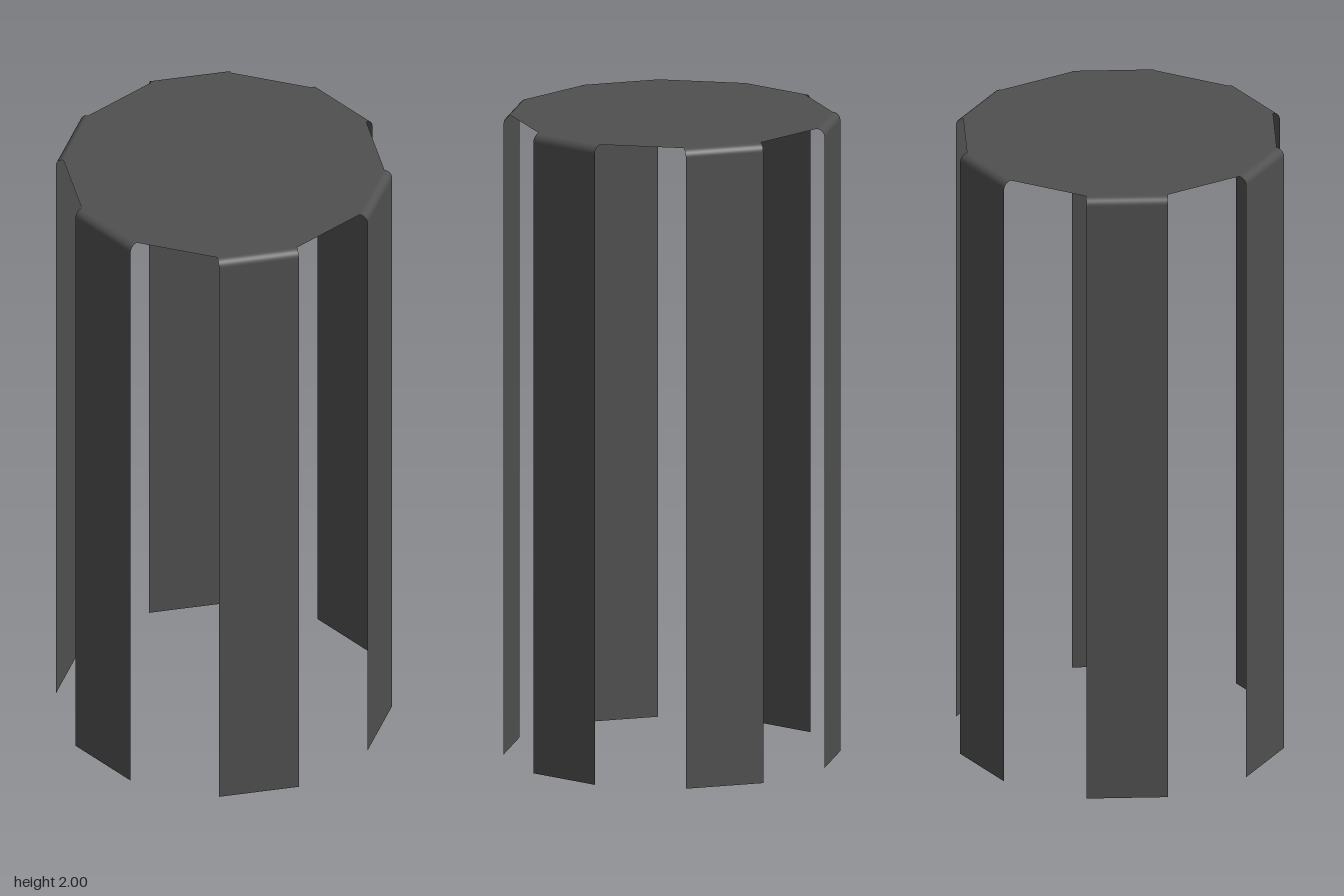
import * as THREE from 'three';

const LEGS = 6, HEIGHT = 2, RADIUS = 0.5, HALF_WIDTH = 0.125, BEND = 0.025, BEND_STEPS = 8;

// One sheet strip facing +z: rounded bend at the top, then straight down to the floor
function legGeometry() {
  const rows = [];
  for (let i = 0; i <= BEND_STEPS; i++) {
    const a = (i / BEND_STEPS) * Math.PI / 2;
    rows.push({
      z: RADIUS - BEND + BEND * Math.sin(a),
      y: HEIGHT - BEND + BEND * Math.cos(a),
      nz: Math.sin(a), ny: Math.cos(a),
    });
  }
  rows.push({ z: RADIUS, y: 0, nz: 1, ny: 0 });

  const geo = new THREE.PlaneGeometry(HALF_WIDTH * 2, 1, 1, rows.length - 1);
  const { position, normal } = geo.attributes;
  for (let i = 0; i < position.count; i++) {
    const r = rows[Math.floor(i / 2)];
    position.setXYZ(i, position.getX(i), r.y, r.z);
    normal.setXYZ(i, 0, r.ny, r.nz);
  }
  return geo;
}

// Flat twelve-sided top whose short edges meet the leg bends
function topGeometry() {
  const points = [];
  for (let k = 0; k < LEGS; k++) {
    const a = k * Math.PI * 2 / LEGS;
    for (const side of [-HALF_WIDTH, HALF_WIDTH]) {
      points.push(new THREE.Vector2(RADIUS - BEND, side).rotateAround(new THREE.Vector2(), a));
    }
  }
  return new THREE.ShapeGeometry(new THREE.Shape(points)).rotateX(-Math.PI / 2);
}

export function createModel() {
  const sheet = new THREE.MeshStandardMaterial({ color: 0x505050, side: THREE.DoubleSide });
  sheet.name = 'dark grey sheet';

  const model = new THREE.Group();
  model.name = 'stool';

  const top = new THREE.Mesh(topGeometry(), sheet);
  top.name = 'seatTop';
  top.position.y = HEIGHT;
  model.add(top);

  const geo = legGeometry();
  for (let k = 0; k < LEGS; k++) {
    const leg = new THREE.Mesh(geo, sheet);
    leg.name = `leg${k + 1}`;
    leg.rotation.y = Math.PI / 2 + k * Math.PI * 2 / LEGS;
    model.add(leg);
  }
  return model;
}
